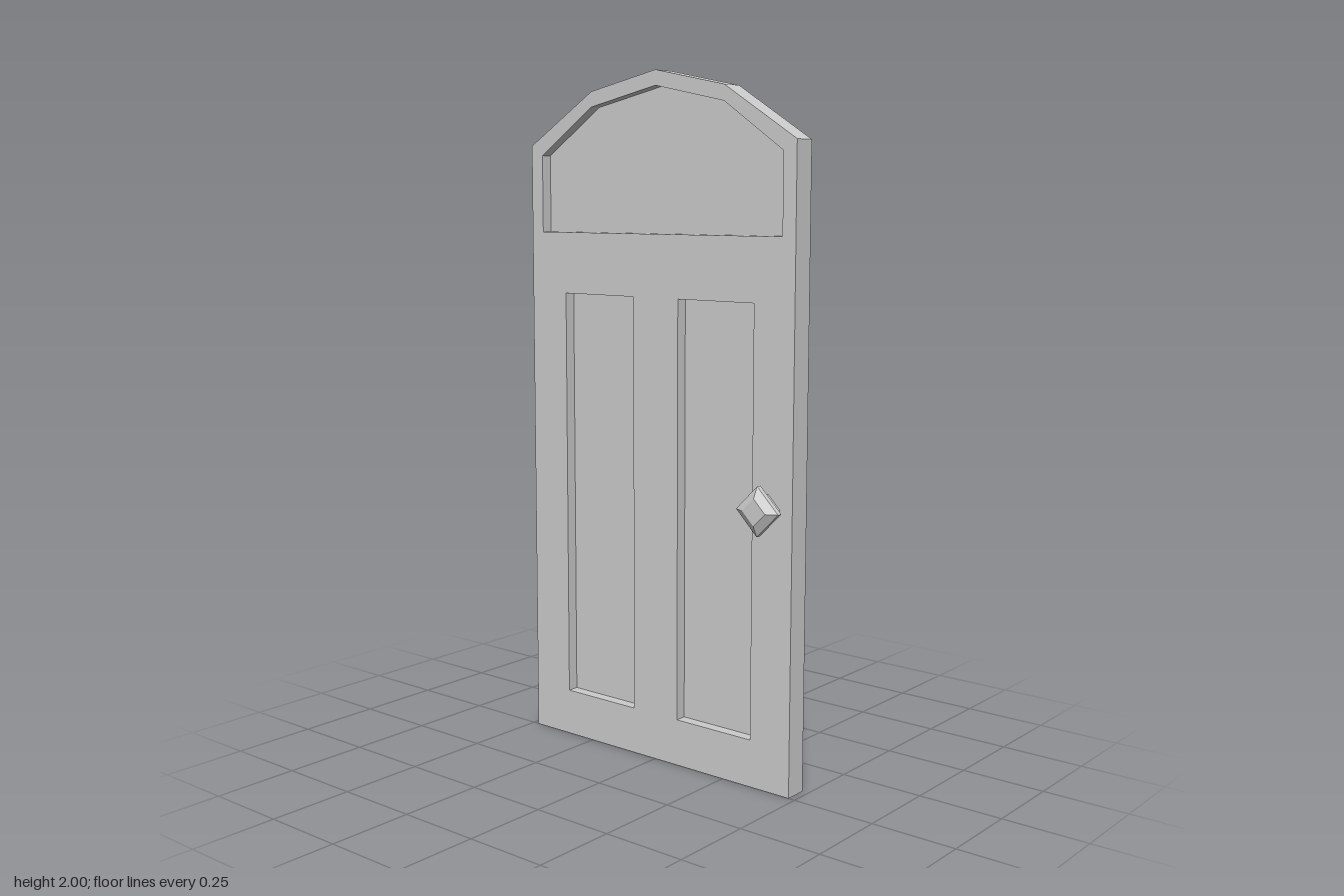
import * as THREE from 'three';
import { mergeGeometries } from 'three/addons/utils/BufferGeometryUtils.js';

const BACK = -0.068, FRONT = 0, RECESS = -0.034;

const toPoints = (list) => list.map(([x, y]) => new THREE.Vector2(x, y));

// Arched contour, counter-clockwise: straight sides and four chords on top
const arch = (w, bottom, spring, shoulder, peak) => toPoints([
  [-w, bottom], [w, bottom], [w, spring], [0.24, shoulder],
  [0, peak], [-0.24, shoulder], [-w, spring],
]);

const rect = (x0, x1, y0, y1) => toPoints([[x0, y0], [x1, y0], [x1, y1], [x0, y1]]);

// Flat face filling a contour at depth z
function face(points, z, holes = []) {
  const shape = new THREE.Shape(points);
  shape.holes = holes.map((h) => new THREE.Path(h));
  const geo = new THREE.ShapeGeometry(shape).toNonIndexed();
  geo.deleteAttribute('uv');
  return geo.translate(0, 0, z);
}

// Wall along a closed contour; it faces outward when counter-clockwise
function wall(points, z0, z1) {
  const pos = [];
  points.forEach((p, i) => {
    const q = points[(i + 1) % points.length];
    pos.push(p.x, p.y, z0, q.x, q.y, z0, q.x, q.y, z1);
    pos.push(p.x, p.y, z0, q.x, q.y, z1, p.x, p.y, z1);
  });
  const geo = new THREE.BufferGeometry();
  geo.setAttribute('position', new THREE.Float32BufferAttribute(pos, 3));
  geo.computeVertexNormals();
  return geo;
}

export function createModel() {
  const model = new THREE.Group();
  model.name = 'archedDoor';
  const material = new THREE.MeshStandardMaterial({ color: 0xcccccc, flatShading: true });
  const add = (name, geometry) => {
    const mesh = new THREE.Mesh(geometry, material);
    mesh.name = name;
    model.add(mesh);
    return mesh;
  };

  const outline = arch(0.48, 0, 1.8, 1.95, 2);
  const panels = {
    archPanel: arch(0.437, 1.546, 1.771, 1.906, 1.957),
    rightPanel: rect(-0.346, -0.082, 0.138, 1.366),
    leftPanel: rect(0.082, 0.346, 0.138, 1.366),
  };

  // Door slab: pierced front, outer edge and plain back
  const backFace = face(outline, 0).rotateY(Math.PI).translate(0, 0, BACK);
  add('doorSlab', mergeGeometries([
    face(outline, FRONT, Object.values(panels)),
    wall(outline, BACK, FRONT),
    backFace,
  ]));

  // Recessed panels: floor and inward-facing reveal
  for (const [name, points] of Object.entries(panels)) {
    add(name, mergeGeometries([
      face(points, RECESS),
      wall([...points].reverse(), RECESS, FRONT),
    ]));
  }

  // Four-sided knob on a short stem
  const profile = toPoints([
    [0.04, 0], [0.04, 0.02], [0.07, 0.037], [0.07, 0.052], [0.038, 0.068], [0, 0.068],
  ]);
  const knob = add('knob', new THREE.LatheGeometry(profile, 4).rotateX(Math.PI / 2));
  knob.position.set(0.4, 0.808, FRONT);

  return model;
}
